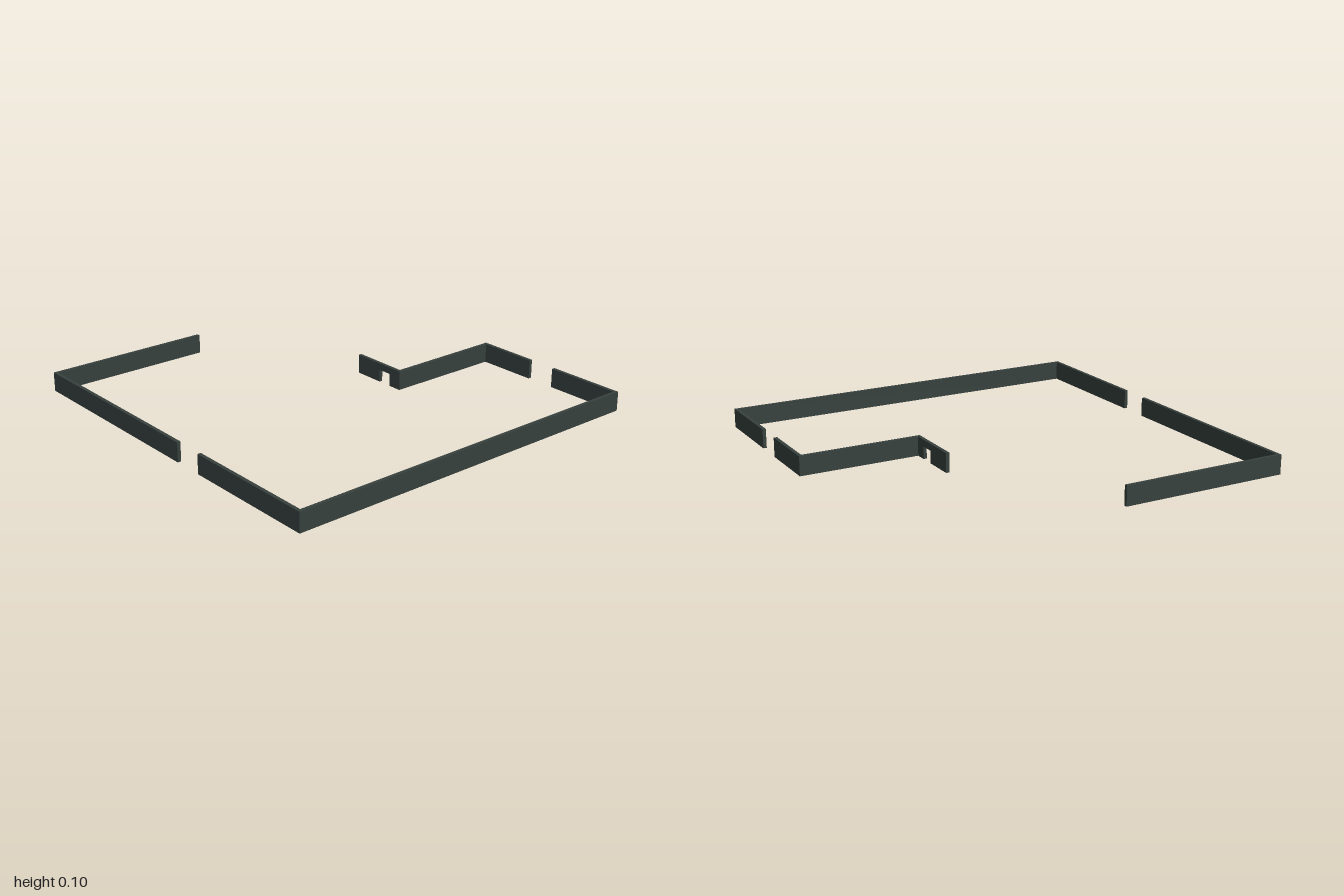
import * as THREE from 'three';

const HEIGHT = 0.1;
const HALF = 0.009; // half the wall thickness
const DOOR_TOP = 0.065;
const EDGE = 1 - HALF;

// Wall along an axis-aligned centre line of [x, z] points, with mitred corners
function wall(name, points, material, bottom = 0) {
  const pts = points.map(([x, z]) => new THREE.Vector2(x, -z));
  const normals = pts.slice(1).map((p, i) => {
    const d = p.clone().sub(pts[i]).normalize();
    return new THREE.Vector2(-d.y, d.x);
  });
  const offset = (side) => pts.map((p, i) => {
    const out = p.clone();
    if (i > 0) out.addScaledVector(normals[i - 1], side * HALF);
    if (i < normals.length) out.addScaledVector(normals[i], side * HALF);
    return out;
  });
  const shape = new THREE.Shape([...offset(-1), ...offset(1).reverse()]);
  const geometry = new THREE.ExtrudeGeometry(shape, { depth: HEIGHT - bottom, bevelEnabled: false });
  geometry.rotateX(-Math.PI / 2);
  geometry.translate(0, bottom, 0);
  const mesh = new THREE.Mesh(geometry, material);
  mesh.name = name;
  return mesh;
}

export function createModel() {
  const model = new THREE.Group();
  model.name = 'perimeterWalls';
  const slate = new THREE.MeshStandardMaterial({ color: 0x37413e });
  slate.name = 'darkSlate';

  const innerX = 0.107;
  const innerZ = -0.365;

  model.add(
    // Front right corner, up to the front gap
    wall('frontRightWall', [[-EDGE, 0.115], [-EDGE, EDGE], [0.115, EDGE]], slate),
    // Front gap, along the left side, to the back gap
    wall('leftWall', [[0.275, EDGE], [EDGE, EDGE], [EDGE, -EDGE], [0.585, -EDGE]], slate),
    // Back gap, stepping inwards to the doorway
    wall('backStepWall', [[0.43, -EDGE], [innerX, -EDGE], [innerX, innerZ], [0.04, innerZ]], slate),
    // Small doorway and the wall beyond it
    wall('doorLintel', [[0.04, innerZ], [-0.035, innerZ]], slate, DOOR_TOP),
    wall('doorEndWall', [[-0.035, innerZ], [-0.2, innerZ]], slate),
  );
  return model;
}
